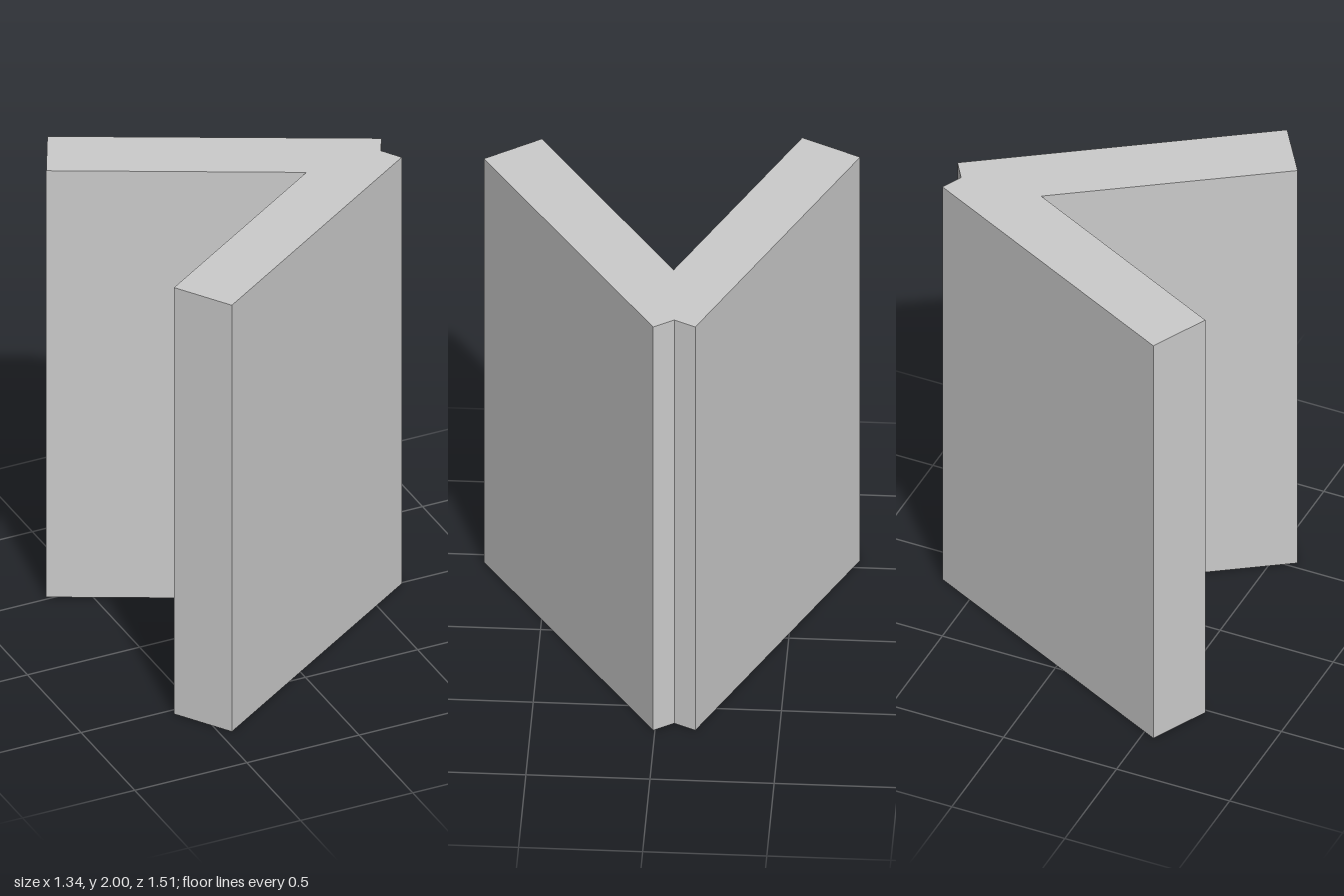
import * as THREE from 'three';

export function createModel() {
  const group = new THREE.Group();
  group.name = 'angledPanels';

  // Floor outline of two panels meeting at a notched corner, as [x, z]
  const outline = [
    [-0.55, -0.755], [0.655, -0.162], [0.612, -0.075], [0.665, 0.007],
    [-0.45, 0.755], [-0.6, 0.53], [0.268, -0.052], [-0.67, -0.515],
  ];
  const shape = new THREE.Shape(outline.map(([x, z]) => new THREE.Vector2(x, -z)));

  // Raise the outline to full height, standing on the ground
  const geometry = new THREE.ExtrudeGeometry(shape, { depth: 2, bevelEnabled: false });
  geometry.rotateX(-Math.PI / 2);

  const panels = new THREE.Mesh(
    geometry,
    new THREE.MeshStandardMaterial({ color: 0xcccccc, flatShading: true }),
  );
  panels.name = 'joinedPanels';
  group.add(panels);
  return group;
}
